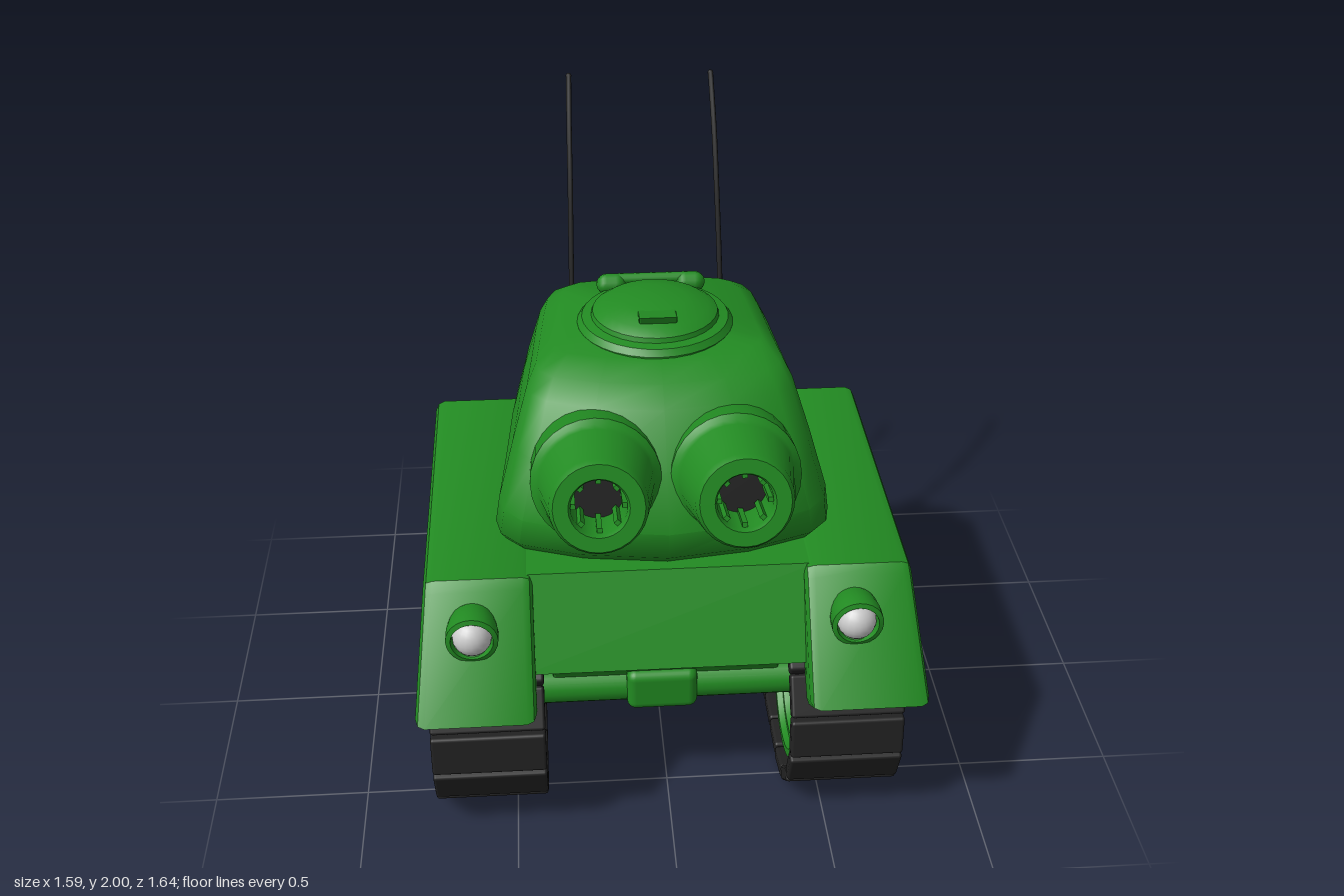
import * as THREE from 'three';
import { toCreasedNormals } from 'three/addons/utils/BufferGeometryUtils.js';
import { RoundedBoxGeometry } from 'three/addons/geometries/RoundedBoxGeometry.js';

const mat = (color) => new THREE.MeshStandardMaterial({ color, side: THREE.DoubleSide });
const V = (x, y, z) => new THREE.Vector3(x, y, z);

export function createModel() {
  const tank = new THREE.Group();
  const green = mat(0x228b22), black = mat(0x222222), grey = mat(0xcccccc);

  const add = (name, geo, material, pos = [0, 0, 0], parent = tank) => {
    const m = new THREE.Mesh(geo, material);
    m.name = name;
    m.position.set(...pos);
    parent.add(m);
    return m;
  };
  const lathe = (pts, seg = 32, crease = 0.6) =>
    toCreasedNormals(new THREE.LatheGeometry(pts.map(p => new THREE.Vector2(...p)), seg), crease);

  // Side profile of [z, y] points, extruded from x0 to x1 with a bevel
  const prism = (pts, x0, x1, bevel = 0.01) => {
    const shape = new THREE.Shape(pts.map(([z, y]) => new THREE.Vector2(-z, y)));
    const g = new THREE.ExtrudeGeometry(shape, {
      depth: x1 - x0 - 2 * bevel, bevelEnabled: true, bevelSize: bevel,
      bevelThickness: bevel, bevelOffset: -bevel, bevelSegments: 2,
    });
    return g.translate(0, 0, x0 + bevel).rotateY(Math.PI / 2);
  };
  // Widths shrink with height
  const taper = (g) => {
    const p = g.attributes.position;
    for (let i = 0; i < p.count; i++)
      if (Math.abs(p.getX(i)) > 0.6) p.setX(i, p.getX(i) * (1 - 0.14 * (p.getY(i) - 0.5)));
    g.computeVertexNormals();
    return toCreasedNormals(g, 0.5);
  };

  // Hull
  add('upperHull', prism([[0.53, 0.89], [0.67, 0.61], [0.62, 0.58], [-0.6, 0.58], [-0.66, 0.62], [-0.53, 0.89]], -0.47, 0.47), green);
  add('lowerHull', prism([[0.63, 0.6], [0.46, 0.43], [0.4, 0.3], [-0.44, 0.3], [-0.62, 0.5], [-0.64, 0.6]], -0.37, 0.37), green);

  // Fenders arching over the tracks
  const fender = [[0.55, 0.895], [0.58, 0.87], [0.82, 0.54], [0.71, 0.465], [0.6, 0.585], [0.43, 0.65],
    [-0.4, 0.65], [-0.49, 0.6], [-0.6, 0.48], [-0.71, 0.51], [-0.735, 0.57], [-0.56, 0.87], [-0.53, 0.895]];
  add('leftFender', taper(prism(fender, 0.42, 0.795, 0.03)), green);
  add('rightFender', taper(prism(fender, -0.795, -0.42, 0.03)), green);

  // Axles with a central gear housing
  for (const z of [0.42, -0.33]) {
    add('axle', new THREE.CylinderGeometry(0.062, 0.062, 0.84, 20).rotateZ(Math.PI / 2), green, [0, 0.362, z]);
  }
  add('gearHousing', new RoundedBoxGeometry(0.23, 0.15, 0.17, 3, 0.03), green, [-0.015, 0.375, 0.42]);

  // Running gear
  const half = [[0.262, 0.14], [0.25, 0.16], [0.225, 0.16], [0.215, 0.14], [0.195, 0.14], [0.185, 0.11], [0.15, 0.08],
    [0.12, 0.08], [0.115, 0.1], [0.065, 0.1], [0.06, 0.13], [0.035, 0.15], [0, 0.155]];
  const mirrored = (h) => [...h.map(([r, y]) => [r, -y]).reverse(), ...h];
  const wheelGeo = lathe(mirrored(half), 36).rotateZ(-Math.PI / 2);
  const idlerGeo = lathe(mirrored([[0.12, 0.09], [0.11, 0.12], [0.09, 0.13], [0.075, 0.11], [0.06, 0.11], [0.045, 0.13], [0, 0.14]]), 28)
    .rotateZ(-Math.PI / 2);
  const boltGeo = new THREE.SphereGeometry(0.015, 8, 6);
  const padGeo = new RoundedBoxGeometry(0.36, 0.048, 0.137, 2, 0.01);
  const R = 0.295, span = 0.75, arc = Math.PI * R, total = 2 * (span + arc), pads = 24;

  for (const [side, cx] of [['left', 0.556], ['right', -0.577]]) {
    const gear = new THREE.Group();
    gear.name = side + 'RunningGear';
    gear.position.set(cx, 0.32, 0.045);
    tank.add(gear);
    for (const z of [span / 2, -span / 2]) {
      add('roadWheel', wheelGeo, green, [0, 0.01, z], gear);
      for (let i = 0; i < 5; i++) for (const s of [1, -1]) {
        const a = i * Math.PI * 0.4 + 0.3;
        add('wheelBolt', boltGeo, green, [s * 0.105, 0.01 + 0.092 * Math.sin(a), z + 0.092 * Math.cos(a)], gear);
      }
    }
    add('idlerWheel', idlerGeo, green, [0, -0.08, 0], gear);
    add('idlerBracket', prism([[0.12, 0.28], [0.11, 0.24], [0.07, 0.14], [-0.08, 0.14], [-0.12, 0.24], [-0.13, 0.28]], -0.12, 0.12), green, [0, 0, 0], gear);

    // Track pads spaced around a stadium path
    for (let i = 0; i < pads; i++) {
      let d = ((i + 0.5) / pads) * total, y, z, a;
      if (d < span) { z = span / 2 - d; y = -R; a = 0; }
      else if (d < span + arc) {
        a = (d - span) / R; z = -span / 2 - R * Math.sin(a); y = -R * Math.cos(a);
      } else if (d < 2 * span + arc) { z = -span / 2 + (d - span - arc); y = R; a = Math.PI; }
      else {
        a = Math.PI + (d - 2 * span - arc) / R; z = span / 2 - R * Math.sin(a); y = -R * Math.cos(a);
      }
      add('trackPad', padGeo, black, [0, y, z], gear).rotation.x = a;
    }
  }

  // Turret lofted from cross-sections: rows are [y, front z, back z, half width]
  const plan = [[0, 0], [0.4, 0.008], [0.7, 0.03], [0.82, 0.07], [0.885, 0.15], [0.92, 0.3], [0.96, 0.55],
    [1, 0.77], [0.97, 0.84], [0.86, 0.9], [0.5, 0.965], [0, 1]];
  const ring = [...plan, ...plan.slice(1, -1).reverse().map(([u, v]) => [-u, v])];
  const rows = [[0.88, 0.48, -0.5, 0.51], [0.93, 0.53, -0.535, 0.53], [1.03, 0.55, -0.525, 0.515], [1.2, 0.46, -0.5, 0.465],
    [1.35, 0.35, -0.455, 0.415], [1.4, 0.28, -0.43, 0.385], [1.435, 0.18, -0.38, 0.33], [1.45, -0.07, -0.07, 0]];
  const pos = [], idx = [], n = ring.length;
  for (const [y, f, b, w] of rows) for (const [u, v] of ring) pos.push(u * w, y, b + (f - b) * v);
  for (let r = 0; r < rows.length - 1; r++) for (let i = 0; i < n; i++) {
    const a = r * n + i, b = r * n + (i + 1) % n, c = a + n, d = b + n;
    idx.push(a, c, b);
    if (r < rows.length - 2) idx.push(b, c, d);
  }
  const turret = new THREE.BufferGeometry();
  turret.setAttribute('position', new THREE.Float32BufferAttribute(pos, 3));
  turret.setIndex(idx);
  add('turret', toCreasedNormals(turret, 0.7), green);

  // Twin short guns, tilted slightly up
  const gunGeo = lathe([[0.2, -0.45], [0.2, -0.25], [0.185, -0.235], [0.175, -0.22], [0.146, -0.02], [0.135, 0],
    [0.09, 0], [0.083, -0.015], [0.083, -0.17]], 28);
  for (const x of [0.21, -0.215]) {
    const gun = new THREE.Group();
    gun.name = 'gun';
    gun.position.set(x, 1.243, 0.707);
    gun.rotation.x = Math.PI / 2 - 0.26;
    tank.add(gun);
    add('barrel', gunGeo, green, [0, 0, 0], gun);
    add('boreFloor', new THREE.CylinderGeometry(0.084, 0.084, 0.01, 20), black, [0, -0.165, 0], gun);
    for (let i = 0; i < 8; i++) {
      const a = i * Math.PI / 4;
      add('boreRib', new THREE.BoxGeometry(0.02, 0.13, 0.016), green, [0.078 * Math.cos(a), -0.09, 0.078 * Math.sin(a)], gun).rotation.y = -a;
    }
  }

  // Hatch, hinge and handle
  add('hatch', lathe([[0.25, -0.04], [0.25, 0.01], [0.235, 0.03], [0.205, 0.035], [0.2, 0.05], [0.17, 0.07], [0.1, 0.087], [0, 0.095]], 32),
    green, [0, 1.43, -0.07]);
  add('hatchHinge', new THREE.CylinderGeometry(0.018, 0.018, 0.28, 12).rotateZ(Math.PI / 2), green, [0, 1.485, -0.28]);
  for (const x of [0.13, -0.13])
    add('hingeKnuckle', new THREE.CapsuleGeometry(0.034, 0.03, 4, 12).rotateZ(Math.PI / 2), green, [x, 1.47, -0.275]);
  add('hatchHandle', prism([[0.09, 1.53], [0.08, 1.505], [0.02, 1.49], [0, 1.515]], -0.06, 0.06, 0.006), green);

  // Whip antennas on small mounts
  for (const s of [1, -1]) {
    add('antennaMount', lathe([[0, -0.07], [0.025, -0.06], [0.042, -0.02], [0.04, 0.02], [0.03, 0.04], [0, 0.04]], 14), green, [s * 0.26, 1.22, -0.49]);
    add('antennaBase', lathe([[0.02, -0.03], [0.035, -0.01], [0.035, 0.015], [0.02, 0.03], [0, 0.04]], 14), black, [s * 0.258, 1.265, -0.495]);
    const curve = new THREE.CatmullRomCurve3([V(s * 0.258, 1.27, -0.495), V(s * 0.255, 1.45, -0.55), V(s * 0.25, 1.67, -0.63),
      V(s * 0.247, 1.83, -0.71), V(s * 0.242, 1.992, -0.815)]);
    add('antenna', new THREE.TubeGeometry(curve, 24, 0.009, 8), black);
    add('antennaTip', new THREE.SphereGeometry(0.01, 8, 6), black, [s * 0.242, 1.99, -0.815]);
  }

  // Headlights
  const lampGeo = lathe([[0, -0.12], [0.05, -0.1], [0.072, -0.05], [0.08, 0], [0.08, 0.04], [0.065, 0.045], [0.06, 0], [0, 0]], 24)
    .rotateX(Math.PI / 2);
  for (const x of [0.568, -0.607]) {
    add('headlightHousing', lampGeo, green, [x, 0.775, 0.66]);
    add('headlightBulb', new THREE.SphereGeometry(0.061, 20, 14), grey, [x, 0.773, 0.67]);
  }

  // Rear stowage box with its latch knob
  add('stowageBox', toCreasedNormals(prism([[-0.72, 0.81], [-0.82, 0.62], [-0.81, 0.6], [-0.74, 0.585], [-0.62, 0.75], [-0.63, 0.77]], -0.4, 0.405, 0.015), 0.5), green);
  add('stowageKnob', new THREE.SphereGeometry(0.027, 12, 8), black, [0.395, 0.745, -0.69]);

  return tank;
}
